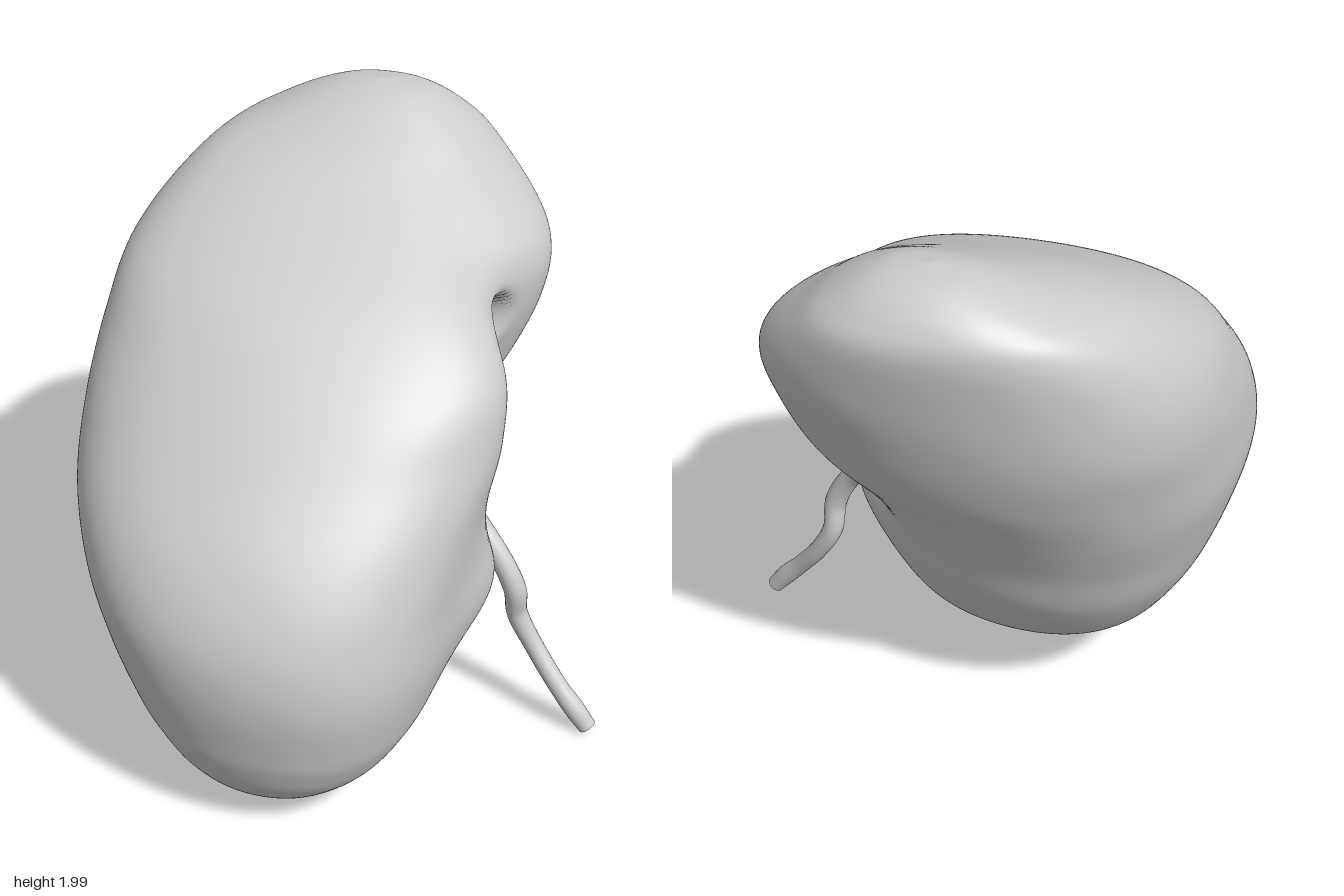
import * as THREE from 'three';

const grey = new THREE.MeshStandardMaterial({ color: 0xcccccc, side: THREE.DoubleSide });

// Horizontal sections of the bean: [y, xMin, xMax, zMin, zMax]
const sections = [
  [0.028, -0.37, -0.37, 0.30, 0.30],
  [0.042, -0.49, -0.22, 0.16, 0.44],
  [0.1, -0.6, -0.04, 0.0, 0.58],
  [0.2, -0.69, 0.14, -0.18, 0.69],
  [0.3, -0.745, 0.245, -0.31, 0.75],
  [0.4, -0.785, 0.32, -0.41, 0.785],
  [0.6, -0.84, 0.4, -0.54, 0.82],
  [0.8, -0.865, 0.46, -0.62, 0.8],
  [1.0, -0.83, 0.57, -0.7, 0.74],
  [1.2, -0.73, 0.72, -0.76, 0.65],
  [1.4, -0.59, 0.81, -0.81, 0.55],
  [1.6, -0.42, 0.86, -0.815, 0.34],
  [1.8, -0.11, 0.81, -0.78, 0.0],
  [1.9, 0.14, 0.73, -0.7, -0.15],
  [1.975, 0.34, 0.61, -0.56, -0.29],
  [2.0, 0.47, 0.47, -0.42, -0.42],
];

// Horizontal direction the notch faces
const NX = 0.69, NZ = 0.72;

// Depth of the notch, its cavity and small vessel opening, less the lip below
function notchDepth(x, y, z) {
  const s = x * NX + z * NZ, t = z * NX - x * NZ;
  const pit = (tc, w, yc, h, power) =>
    Math.exp(-((((t - tc) / w) ** 2 + ((y - yc) / h) ** 2) ** power));
  const depth = 0.18 * pit(-0.17, 0.21, 1.32, 0.38, 1)
    + 0.28 * pit(-0.11, 0.14, 1.02, 0.26, 1.5)
    + 0.22 * pit(-0.17, 0.07, 1.405, 0.08, 1.7)
    - 0.11 * pit(0.04, 0.25, 0.62, 0.25, 1);
  return depth * THREE.MathUtils.smoothstep(s, 0.08, 0.52);
}

function bodyGeometry(rows = 190, cols = 240) {
  const xs = new THREE.CatmullRomCurve3(sections.map(([y, a, b]) => new THREE.Vector3(a, y, b)), false, 'catmullrom');
  const zs = new THREE.CatmullRomCurve3(sections.map(([y, , , a, b]) => new THREE.Vector3(a, y, b)), false, 'catmullrom');
  const pos = [], idx = [];
  for (let j = 0; j <= rows; j++) {
    const px = xs.getPoint(j / rows), pz = zs.getPoint(j / rows), y = px.y;
    // The oval sections lean one way below and the other way above
    const skew = THREE.MathUtils.lerp(-0.15, 0.36, THREE.MathUtils.smoothstep(y, 0.6, 2));
    for (let i = 0; i < cols; i++) {
      const a = (i / cols) * Math.PI * 2;
      const r = 1 - 0.045 * Math.sin(2 * a + skew) ** 2; // slimmer on the diagonals
      const x = (px.x + px.z) / 2 + r * Math.cos(a) * (px.z - px.x) / 2;
      const z = (pz.x + pz.z) / 2 + r * Math.sin(a + skew) * (pz.z - pz.x) / 2;
      const d = notchDepth(x, y, z);
      pos.push(x - NX * d, y, z - NZ * d);
      if (j < rows) {
        const p = j * cols + i, q = j * cols + (i + 1) % cols;
        idx.push(p, p + cols, q, q, p + cols, q + cols);
      }
    }
  }
  const g = new THREE.BufferGeometry();
  g.setAttribute('position', new THREE.Float32BufferAttribute(pos, 3));
  g.setIndex(idx);
  g.computeVertexNormals();
  return g;
}

// Tube with a varying radius; path entries are [x, y, z, radius]
function taperedTube(path, segments = 80, sides = 20) {
  const curve = new THREE.CatmullRomCurve3(path.map(([x, y, z]) => new THREE.Vector3(x, y, z)));
  const g = new THREE.TubeGeometry(curve, segments, 1, sides);
  const p = g.attributes.position, v = new THREE.Vector3();
  for (let j = 0; j <= segments; j++) {
    const u = j / segments, c = curve.getPointAt(u);
    const f = curve.getUtoTmapping(u) * (path.length - 1);
    const k = Math.min(Math.floor(f), path.length - 2);
    const r = THREE.MathUtils.lerp(path[k][3], path[k + 1][3], THREE.MathUtils.smoothstep(f - k, 0, 1));
    for (let i = 0; i <= sides; i++) {
      const n = j * (sides + 1) + i;
      v.fromBufferAttribute(p, n).sub(c).multiplyScalar(r).add(c);
      p.setXYZ(n, v.x, v.y, v.z);
    }
  }
  g.computeVertexNormals();
  return g;
}

export function createModel() {
  const model = new THREE.Group();
  model.name = 'kidney';
  const add = (name, geometry) => {
    const mesh = new THREE.Mesh(geometry, grey);
    mesh.name = name;
    model.add(mesh);
  };

  add('kidneyBody', bodyGeometry());

  // Funnel leaving the cavity and narrowing into the wavy duct
  add('ureter', taperedTube([
    [0.22, 0.99, 0.03, 0.1],
    [0.30, 0.94, 0.12, 0.08],
    [0.345, 0.86, 0.215, 0.062],
    [0.385, 0.75, 0.31, 0.045],
    [0.43, 0.65, 0.405, 0.036],
    [0.47, 0.52, 0.46, 0.038],
    [0.49, 0.41, 0.455, 0.035],
    [0.53, 0.29, 0.505, 0.032],
    [0.57, 0.17, 0.59, 0.032],
    [0.605, 0.09, 0.65, 0.035],
    [0.637, 0.025, 0.69, 0.031],
  ]));
  return model;
}
